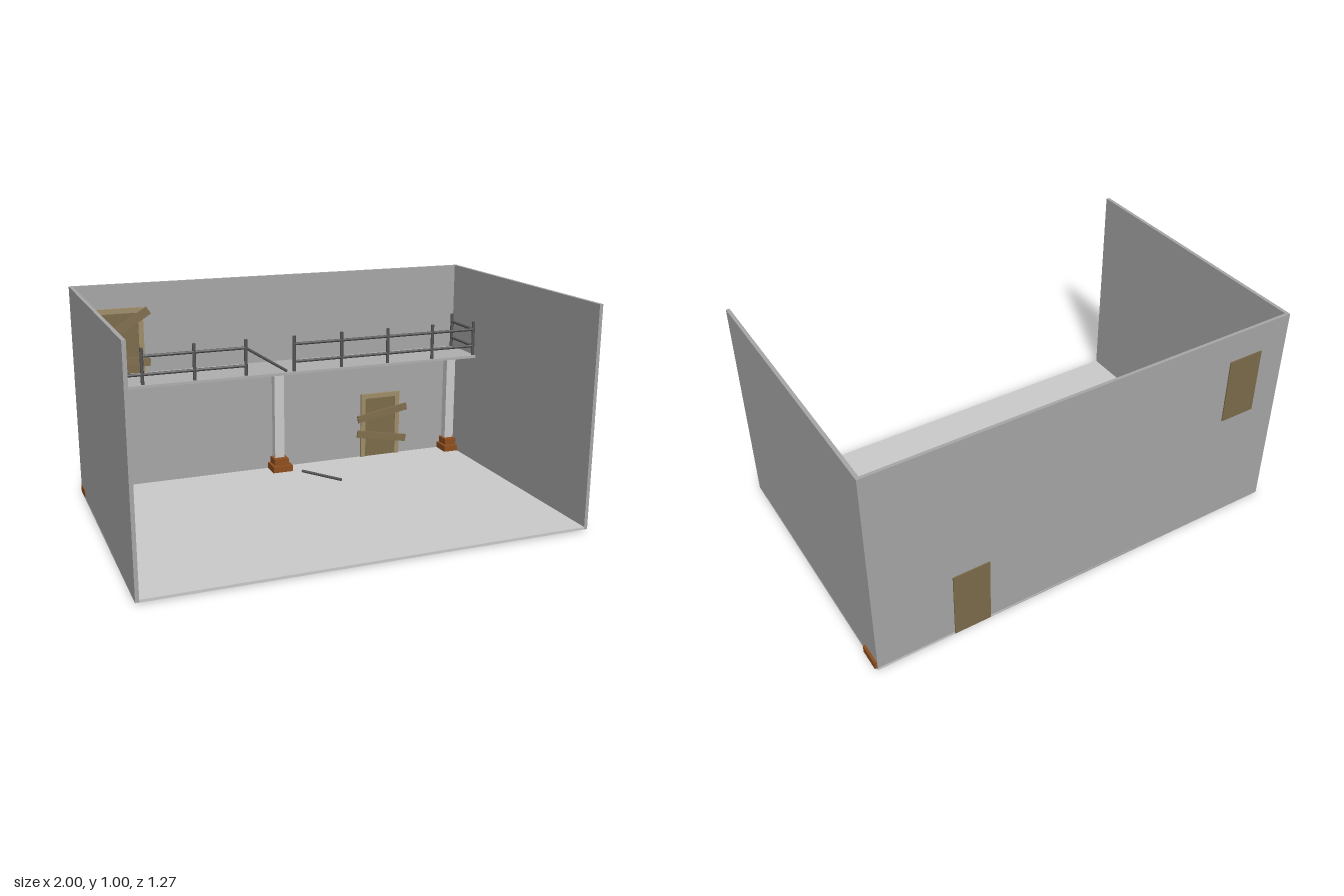
import * as THREE from 'three';

const mat = (color) => new THREE.MeshStandardMaterial({ color });

export function createModel() {
  const model = new THREE.Group();
  const grey = mat(0xcccccc), wallGrey = mat(0xa8a8a8), deckGrey = mat(0xb0b0b0), iron = mat(0x555555);
  const brick = mat(0x8f4e1e), doorWood = mat(0x7d6c4a), frameWood = mat(0xa08e6a), plankWood = mat(0x82704f);

  // Box given by its lower and upper corners
  function box(name, material, [x0, y0, z0], [x1, y1, z1], parent = model) {
    const mesh = new THREE.Mesh(new THREE.BoxGeometry(x1 - x0, y1 - y0, z1 - z0), material);
    mesh.position.set((x0 + x1) / 2, (y0 + y1) / 2, (z0 + z1) / 2);
    mesh.name = name;
    parent.add(mesh);
    return mesh;
  }

  // Round bar between two points
  function bar(name, a, b, radius, parent = model) {
    const from = new THREE.Vector3(...a), to = new THREE.Vector3(...b);
    const dir = to.clone().sub(from);
    const mesh = new THREE.Mesh(new THREE.CylinderGeometry(radius, radius, dir.length(), 10), iron);
    mesh.position.copy(from).add(to).multiplyScalar(0.5);
    mesh.quaternion.setFromUnitVectors(new THREE.Vector3(0, 1, 0), dir.normalize());
    mesh.name = name;
    parent.add(mesh);
  }

  // Room shell, open at the front and top
  box('floor', grey, [-0.997, 0.006, -0.632], [0.988, 0.018, 0.637]);
  box('leftWall', wallGrey, [0.972, 0.008, -0.632], [0.988, 1, 0.637]);
  box('rightWall', wallGrey, [-0.997, 0.008, -0.632], [-0.981, 1, 0.637]);
  box('backWall', wallGrey, [-0.997, 0.008, -0.632], [0.988, 1, -0.618]);

  // Balcony deck
  box('balconyDeck', deckGrey, [-0.985, 0.56, -0.625], [0.976, 0.573, -0.368]);

  // Pillars on stepped brick bases
  for (const x of [-0.948, -0.012, 0.948]) {
    const pillar = new THREE.Group();
    pillar.name = 'pillar';
    box('pillarShaft', grey, [x - 0.025, 0, -0.628], [x + 0.025, 0.562, -0.577], pillar);
    box('baseLowerStep', brick, [x - 0.051, 0.014, -0.628], [x + 0.051, 0.049, -0.525], pillar);
    box('baseUpperStep', brick, [x - 0.037, 0.049, -0.628], [x + 0.037, 0.08, -0.546], pillar);
    model.add(pillar);
  }

  // Railing with a broken bay and a missing top rail
  const railing = new THREE.Group();
  railing.name = 'railing';
  model.add(railing);
  const zFront = -0.383, zBack = -0.612, low = 0.62, high = 0.705;
  const posts = [-0.973, -0.73, -0.487, -0.24, 0, 0.243, 0.488, 0.732, 0.963];
  for (const x of posts) bar('railPost', [x, 0.57, zFront], [x, 0.745, zFront], 0.008, railing);
  bar('lowerRail', [-0.973, low, zFront], [-0.24, low, zFront], 0.007, railing);
  bar('upperRail', [-0.73, high, zFront], [-0.24, high, zFront], 0.007, railing);
  for (const y of [low, high]) bar('frontRail', [0, y, zFront], [0.963, y, zFront], 0.007, railing);
  for (const x of [-0.973, 0.963]) {
    bar('railPost', [x, 0.57, zBack], [x, 0.745, zBack], 0.008, railing);
    for (const y of [low, high]) bar('sideRail', [x, y, zBack], [x, y, zFront], 0.007, railing);
  }
  bar('hangingRail', [-0.24, high, zFront], [-0.038, 0.577, zFront], 0.007, railing);
  bar('fallenRailOnDeck', [-0.92, 0.58, -0.395], [-0.755, 0.58, -0.57], 0.007);
  bar('fallenRailOnFloor', [0.077, 0.025, -0.49], [0.21, 0.025, -0.298], 0.007);

  // Boarded door: panel through the wall, frame and nailed planks inside
  function door(name, x, y, bottom, planks) {
    const group = new THREE.Group();
    group.name = name;
    box('doorPanel', doorWood, [x - 0.084, bottom, -0.637], [x + 0.084, y + 0.318, -0.613], group);
    for (const s of [-1, 1]) {
      const cx = x + s * 0.096;
      box('doorJamb', frameWood, [cx - 0.012, y, -0.622], [cx + 0.012, y + 0.34, -0.606], group);
    }
    box('doorLintel', frameWood, [x - 0.084, y + 0.316, -0.622], [x + 0.084, y + 0.34, -0.606], group);
    for (const [px, py, length, width, degrees] of planks) {
      const plank = box('plank', plankWood, [px - length / 2, py - width / 2, -0.607],
        [px + length / 2, py + width / 2, -0.597], group);
      plank.rotation.z = THREE.MathUtils.degToRad(degrees);
    }
    model.add(group);
  }
  door('upperDoor', -0.777, 0.547, 0.56, [[-0.783, 0.786, 0.33, 0.04, 32], [-0.783, 0.64, 0.28, 0.037, -7]]);
  door('lowerDoor', 0.555, 0.016, 0.012, [[0.564, 0.249, 0.28, 0.037, 10], [0.561, 0.123, 0.28, 0.037, -10]]);

  return model;
}
